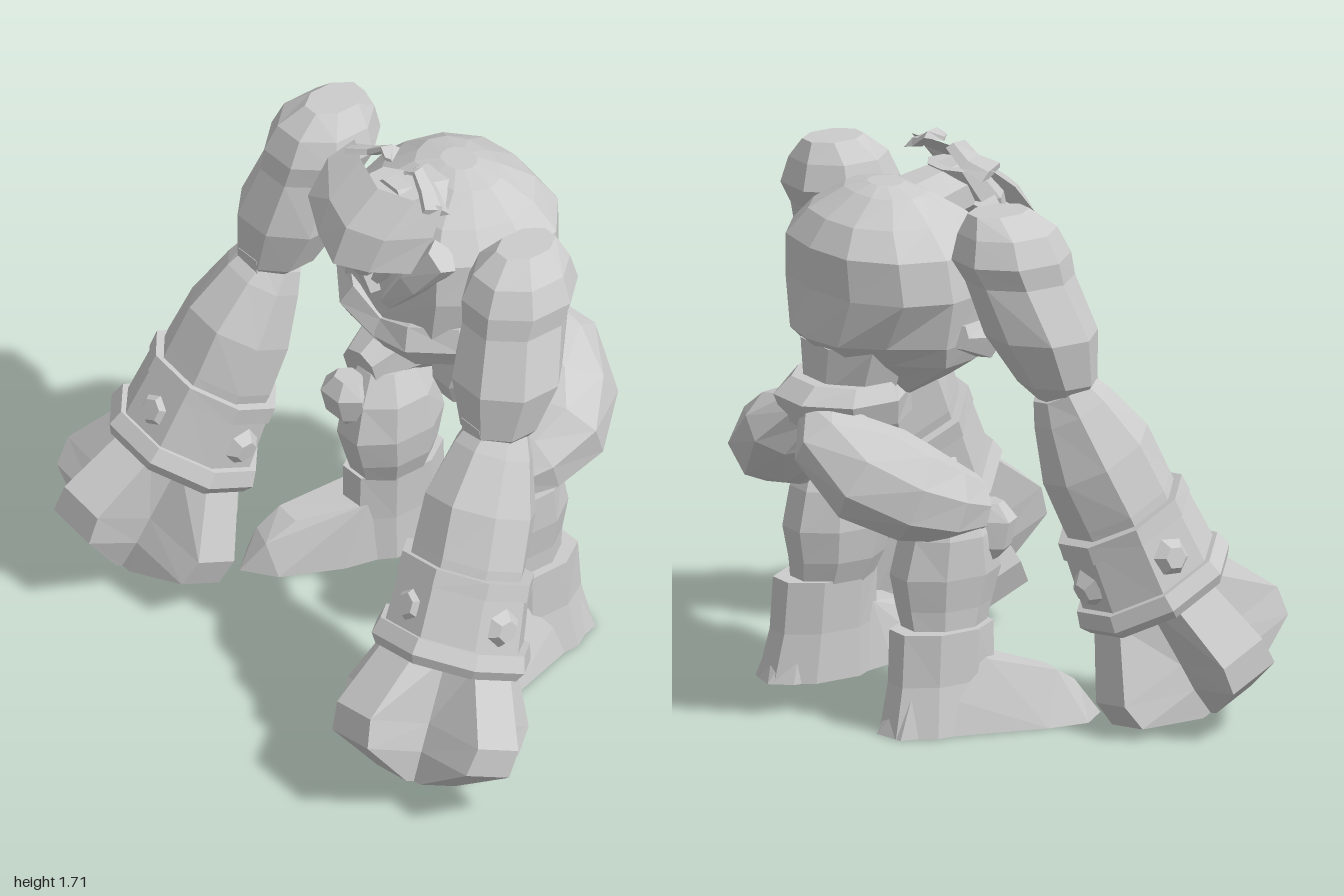
import * as THREE from 'three';
import { ConvexGeometry } from 'three/addons/geometries/ConvexGeometry.js';

const stone = new THREE.MeshStandardMaterial({ color: 0xcccccc, flatShading: true, side: THREE.DoubleSide });
stone.name = 'pale stone';
const V = (x, y, z) => new THREE.Vector3(x, y, z);

function part(name, geo, group) {
  const g = geo.index ? geo.toNonIndexed() : geo;
  g.computeVertexNormals();
  const m = new THREE.Mesh(g, stone);
  m.name = name;
  group.add(m);
  return m;
}

// closed skin over a list of equal rings
function skin(rings) {
  const p = [], n = rings[0].length;
  const tri = (...vs) => vs.forEach(v => p.push(v.x, v.y, v.z));
  const mid = r => r.reduce((s, v) => s.add(v), V(0, 0, 0)).divideScalar(n);
  const first = rings[0], last = rings[rings.length - 1], c0 = mid(first), c1 = mid(last);
  for (let j = 0; j < n; j++) {
    const k = (j + 1) % n;
    for (let i = 0; i + 1 < rings.length; i++) {
      const a = rings[i], b = rings[i + 1];
      tri(a[j], a[k], b[k]);
      tri(a[j], b[k], b[j]);
    }
    tri(c0, first[k], first[j]);
    tri(c1, last[j], last[k]);
  }
  const g = new THREE.BufferGeometry();
  g.setAttribute('position', new THREE.Float32BufferAttribute(p, 3));
  return g;
}

// level sections from bottom to top: [y, x, z, radius x, radius z]
function stack(rows, n = 8, turn = 0, shape = (c, s) => [c, s]) {
  return skin(rows.map(([y, x, z, rx, rz]) => Array.from({ length: n }, (_, j) => {
    const a = (j / n) * Math.PI * 2 + turn;
    const [c, s] = shape(Math.cos(a), Math.sin(a), y);
    return V(x + rx * c, y, z - rz * s);
  })));
}

// sections across a path: [x, y, z, radius u, radius v]
function limb(rows, ref, n = 8) {
  const c = rows.map(r => V(r[0], r[1], r[2]));
  return skin(rows.map((r, i) => {
    const t = c[Math.min(i + 1, c.length - 1)].clone().sub(c[Math.max(i - 1, 0)]).normalize();
    const u = ref.clone().addScaledVector(t, -ref.dot(t)).normalize();
    const v = t.clone().cross(u);
    return Array.from({ length: n }, (_, j) => {
      const a = ((j + 0.5) / n) * Math.PI * 2;
      return c[i].clone().addScaledVector(u, r[3] * Math.cos(a)).addScaledVector(v, r[4] * Math.sin(a));
    });
  }));
}

// flared fist: cross-shaped section with four ridges
function fistGeometry() {
  const rows = [[-1.1, 0.1, 0.07, 0.1], [-1.0, 0.3, 0.085, 0.13], [-0.91, 0.315, 0.08, 0.13], [-0.7, 0.2, 0.07, 0.14]];
  return skin(rows.map(([y, r, w, q]) => {
    const ring = [];
    for (let k = 0; k < 4; k++) {
      const c = Math.round(Math.cos(k * Math.PI / 2)), s = Math.round(Math.sin(k * Math.PI / 2)), d = q * Math.SQRT1_2;
      for (const [a, b] of [[r, -w], [r, w], [d, d]]) ring.push(V(a * c - b * s, y, -(a * s + b * c)));
    }
    return ring;
  }));
}

function buildArm() {
  const arm = new THREE.Group();
  const e = Math.PI / 8;
  part('upperArm', stack([
    [1.02, 0.54, 0.02, 0.065, 0.07], [1.08, 0.53, 0.01, 0.125, 0.12], [1.23, 0.51, -0.035, 0.175, 0.17],
    [1.4, 0.48, -0.09, 0.15, 0.17], [1.47, 0.47, -0.115, 0.165, 0.185], [1.55, 0.465, -0.125, 0.135, 0.155],
    [1.61, 0.455, -0.15, 0.07, 0.1]], 8, e), arm);
  part('elbowGuard', stack([[1.0, 0.545, 0.06, 0.075, 0.075], [1.11, 0.53, 0.07, 0.06, 0.075]], 4, Math.PI / 4), arm);

  // forearm, cuff and fist share one tilted frame running down from the elbow
  const lower = new THREE.Group();
  lower.position.set(0.54, 1.04, -0.02);
  lower.rotation.set(-0.45, 0, 0.16, 'ZXY');
  arm.add(lower);
  part('forearm', stack([
    [-0.5, 0, 0.02, 0.18, 0.18], [-0.4, 0, 0.025, 0.185, 0.18], [-0.24, 0, 0.035, 0.17, 0.18],
    [-0.07, 0, 0.04, 0.125, 0.125], [0.0, 0, 0.04, 0.1, 0.09]], 8, e), lower);
  part('cuff', stack([[-0.67, 0, 0, 0.22, 0.225], [-0.45, 0, 0.02, 0.205, 0.205]], 8, e), lower);
  part('cuffUpperRing', stack([[-0.485, 0, 0.015, 0.215, 0.215], [-0.43, 0, 0.02, 0.215, 0.21]], 8, e), lower);
  part('cuffLowerRing', stack([[-0.725, 0, 0, 0.235, 0.235], [-0.695, 0, 0, 0.255, 0.255], [-0.645, 0, 0, 0.24, 0.24]], 8, e), lower);
  part('fist', fistGeometry(), lower);
  for (let k = 0; k < 4; k++) {
    const stud = new THREE.CylinderGeometry(0.035, 0.065, 0.035, 6).rotateX(Math.PI / 2);
    part('cuffStud', stud.translate(0, -0.57, 0.208).rotateY(k * Math.PI / 2), lower);
  }
  return arm;
}

function buildLeg() {
  const leg = new THREE.Group();
  part('thigh', limb([
    [0.06, 0.92, -0.47, 0.07, 0.12], [0.13, 0.87, -0.51, 0.11, 0.15], [0.24, 0.79, -0.46, 0.14, 0.175],
    [0.33, 0.74, -0.37, 0.14, 0.155], [0.34, 0.7, -0.26, 0.11, 0.13], [0.335, 0.67, -0.15, 0.07, 0.09]], V(0.8, 0.6, 0)), leg);
  part('kneeCap', stack([[0.5, 0.335, -0.12, 0.04, 0.04], [0.54, 0.335, -0.105, 0.08, 0.06],
    [0.62, 0.335, -0.09, 0.085, 0.065], [0.67, 0.33, -0.1, 0.045, 0.04]], 6), leg);
  part('shin', stack([
    [0.28, 0.31, -0.25, 0.09, 0.13], [0.37, 0.295, -0.24, 0.11, 0.155], [0.47, 0.295, -0.235, 0.125, 0.18],
    [0.59, 0.3, -0.235, 0.12, 0.15], [0.68, 0.31, -0.24, 0.08, 0.1]], 8, Math.PI / 8), leg);
  part('ankle', stack([[0, 0.335, -0.28, 0.12, 0.2], [0.15, 0.325, -0.27, 0.105, 0.175], [0.31, 0.32, -0.265, 0.11, 0.17]], 8, Math.PI / 8), leg);
  const sole = [[0.25, -0.42], [0.3, -0.48], [0.4, -0.46], [0.44, -0.25], [0.53, -0.02], [0.545, 0.11], [0.47, 0.2], [0.37, 0.13], [0.28, -0.05], [0.23, -0.25]];
  const instep = [[0.39, 0.16, 0.05], [0.48, 0.16, 0.04], [0.42, 0.1, 0.14], [0.5, 0.1, 0.11], [0.27, 0.21, -0.13], [0.42, 0.21, -0.16], [0.27, 0.15, -0.38], [0.38, 0.15, -0.4]];
  part('foot', new ConvexGeometry([...sole.map(([x, z]) => V(x, 0, z)), ...instep.map(q => V(...q))]), leg);
  return leg;
}

// copy of a limb reflected to the other side, with corner order restored
function mirrored(src) {
  const out = new THREE.Group();
  src.updateMatrixWorld(true);
  src.traverse(o => {
    if (!o.isMesh) return;
    const g = o.geometry.clone().applyMatrix4(o.matrixWorld).scale(-1, 1, 1);
    const p = g.attributes.position;
    for (let i = 0; i < p.count; i += 3) {
      const a = V().fromBufferAttribute(p, i + 1), b = V().fromBufferAttribute(p, i + 2);
      p.setXYZ(i + 1, b.x, b.y, b.z);
      p.setXYZ(i + 2, a.x, a.y, a.z);
    }
    part(o.name, g, out);
  });
  return out;
}

// bent face plate, rows from chin to brow as [x, y, z] from the middle outwards
function maskGeometry() {
  const half = [
    [[0, 1.44, 0.22], [0.12, 1.46, 0.18], [0.245, 1.5, 0.12]],
    [[0, 1.55, 0.17], [0.13, 1.56, 0.13], [0.25, 1.6, 0.04]],
    [[0, 1.64, 0.05], [0.13, 1.65, 0.01], [0.21, 1.66, -0.03]]];
  const p = [], idx = [];
  half.forEach(r => [-2, -1, 0, 1, 2].forEach(c => {
    const [x, y, z] = r[Math.abs(c)];
    p.push(c < 0 ? -x : x, y, z);
  }));
  for (let r = 0; r < 2; r++) for (let c = 0; c < 4; c++) {
    const a = r * 5 + c;
    idx.push(a, a + 1, a + 6, a, a + 6, a + 5);
  }
  const g = new THREE.BufferGeometry();
  g.setAttribute('position', new THREE.Float32BufferAttribute(p, 3));
  g.setIndex(idx);
  return g;
}

function buildBody() {
  const body = new THREE.Group();
  // chest, broad in front, creased at breastbone and spine, back tapering down to the waist
  const chestShape = (c, s, y) => [
    c * (s < -0.6 ? 1.25 : s > 0.2 ? Math.min(1, 0.6 + (y - 1) * 1.3) : 1),
    s * (Math.abs(c) < 0.01 ? 0.95 : 1)];
  part('chest', stack([
    [0.96, 0, -0.27, 0.09, 0.1], [1.03, 0, -0.24, 0.2, 0.19], [1.09, 0, -0.23, 0.29, 0.25],
    [1.16, 0, -0.25, 0.325, 0.3], [1.31, 0, -0.245, 0.355, 0.29], [1.44, 0, -0.255, 0.335, 0.285],
    [1.52, 0, -0.26, 0.25, 0.22], [1.585, 0, -0.26, 0.15, 0.11], [1.605, 0, -0.26, 0.06, 0.05]], 12, 0, chestShape), body);
  part('waist', stack([[0.88, 0, -0.38, 0.16, 0.17], [1.0, 0, -0.37, 0.15, 0.15], [1.14, 0, -0.36, 0.2, 0.16]], 8, Math.PI / 8), body);
  part('pelvis', stack([
    [0.73, 0, -0.27, 0.07, 0.06], [0.8, 0, -0.3, 0.1, 0.12], [0.9, 0, -0.39, 0.17, 0.2],
    [0.98, 0, -0.41, 0.2, 0.21], [1.03, 0, -0.4, 0.17, 0.16]], 8, Math.PI / 8), body);
  part('neck', limb([[0, 1.5, -0.22, 0.14, 0.09], [0, 1.53, -0.08, 0.11, 0.09], [0, 1.55, 0.02, 0.09, 0.09]], V(1, 0, 0)), body);
  part('head', stack([
    [1.36, 0, 0.1, 0.03, 0.03], [1.42, 0, 0.1, 0.07, 0.07], [1.52, 0, 0.05, 0.11, 0.09], [1.62, 0, -0.02, 0.1, 0.07]], 8, Math.PI / 8), body);
  part('mask', maskGeometry(), body);

  const side = new THREE.Group();
  part('ribShelf', limb([[0, 1.1, 0.01, 0.055, 0.06], [0.13, 1.13, 0.0, 0.075, 0.075], [0.25, 1.16, -0.08, 0.075, 0.07],
    [0.32, 1.19, -0.2, 0.04, 0.03]], V(0, 1, 0), 6), side);
  part('neckStrand', limb([[0.22, 1.48, -0.02, 0.06, 0.05], [0.14, 1.37, 0.02, 0.055, 0.05], [0.03, 1.23, 0.03, 0.03, 0.03]], V(1, 0, 0), 5), side);
  part('throatStrand', limb([[0.11, 1.52, 0.03, 0.045, 0.04], [0.07, 1.42, 0.06, 0.04, 0.035], [0.015, 1.32, 0.06, 0.02, 0.025]], V(1, 0, 0), 5), side);
  part('horn', limb([[0.2, 1.64, -0.01, 0.05, 0.015], [0.13, 1.66, -0.04, 0.04, 0.015], [0.07, 1.7, -0.05, 0.035, 0.012], [0.04, 1.69, -0.02, 0.015, 0.008]], V(0, 0.3, 1), 5), side);
  body.add(side, mirrored(side));
  return body;
}

export function createModel() {
  const model = new THREE.Group();
  const add = (name, g) => { g.name = name; model.add(g); };
  const arm = buildArm(), leg = buildLeg();
  add('body', buildBody());
  add('rightArm', mirrored(arm));
  add('rightLeg', mirrored(leg));
  add('leftArm', arm);
  add('leftLeg', leg);
  return model;
}
